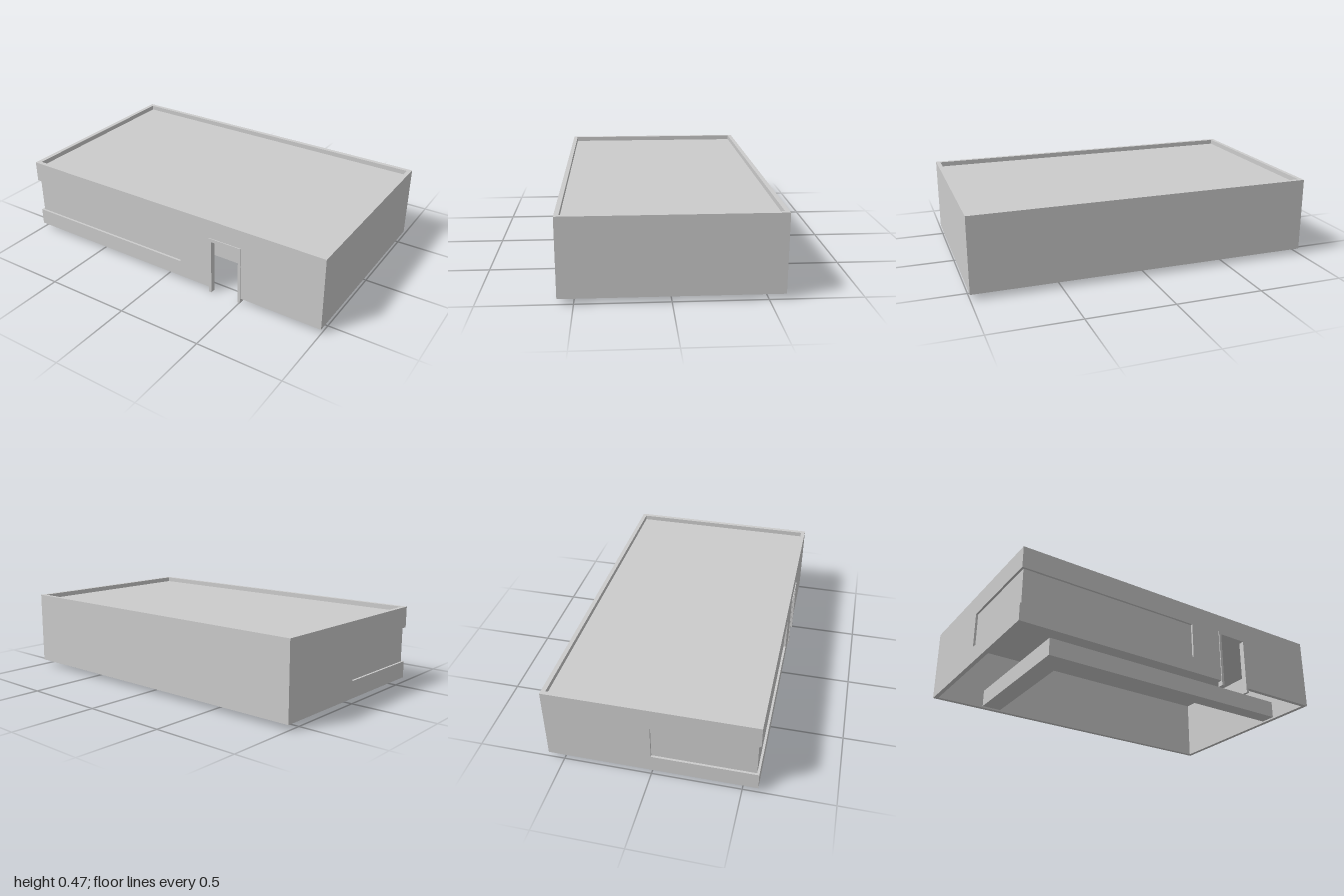
import * as THREE from 'three';

const material = new THREE.MeshStandardMaterial({ color: 0xcccccc, flatShading: true });

// Overall limits of the walls
const T = 0.025, BASE = 0.03, TOP = 0.465, BACK = -0.59, FRONT = 0.585;
// Corner window and doorway
const WIN = { low: 0.13, high: 0.34, endX: 0.1, endZ: 0 };
const DOOR = { left: 0.3, right: 0.505, top: 0.355, jamb: 0.016 };

export function createModel() {
  const model = new THREE.Group();
  model.name = 'building';

  const add = (name, geometry, parent = model) => {
    const mesh = new THREE.Mesh(geometry, material);
    mesh.name = name;
    parent.add(mesh);
    return mesh;
  };

  // Box given by its limits on each axis
  const box = (name, [x0, x1], [y0, y1], [z0, z1], parent) => {
    const g = new THREE.BoxGeometry(x1 - x0, y1 - y0, z1 - z0);
    g.translate((x0 + x1) / 2, (y0 + y1) / 2, (z0 + z1) / 2);
    return add(name, g, parent);
  };

  // Flat outline given thickness
  const slab = (points, depth) => {
    const shape = new THREE.Shape(points.map(([x, y]) => new THREE.Vector2(x, y)));
    return new THREE.ExtrudeGeometry(shape, { depth, bevelEnabled: false });
  };

  // Front wall, notched for the doorway and the corner window
  const inFront = FRONT - T, inBack = BACK + T, inSide = 1 - T;
  const front = slab([
    [-1, BASE], [DOOR.left, BASE], [DOOR.left, DOOR.top], [DOOR.right, DOOR.top],
    [DOOR.right, BASE], [1, BASE], [1, TOP], [-1, TOP],
    [-1, WIN.high], [WIN.endX, WIN.high], [WIN.endX, WIN.low], [-1, WIN.low],
  ], T);
  front.translate(0, 0, inFront);
  add('frontWall', front);

  // Side wall that carries the rest of the corner window
  const side = slab([
    [inBack, BASE], [inFront, BASE], [inFront, WIN.low], [WIN.endZ, WIN.low],
    [WIN.endZ, WIN.high], [inFront, WIN.high], [inFront, TOP], [inBack, TOP],
  ], T);
  side.rotateY(-Math.PI / 2);
  side.translate(-inSide, 0, 0);
  add('windowSideWall', side);

  // Plain walls
  box('plainSideWall', [inSide, 1], [BASE, TOP], [inBack, inFront]);
  box('backWall', [-1, 1], [BASE, TOP], [BACK, inBack]);

  // Roof set below the top of the walls
  box('roof', [-inSide, inSide], [0.415, 0.437], [inBack, inFront]);

  // Recessed panes meeting at the corner
  const recess = 0.013;
  const panes = new THREE.Group();
  panes.name = 'cornerWindow';
  model.add(panes);
  const paneY = [WIN.low, WIN.high];
  box('frontPane', [-1 + recess, WIN.endX], paneY, [inFront + 0.002, FRONT - recess], panes);
  box('sidePane', [-1 + recess, -inSide - 0.002], paneY, [WIN.endZ, inFront + 0.002], panes);

  // Door frame, with jambs reaching the ground
  const frame = new THREE.Group();
  frame.name = 'doorFrame';
  model.add(frame);
  const frameZ = [0.557, 0.59];
  const headY = DOOR.top - 0.02;
  for (const x of [DOOR.left, DOOR.right - DOOR.jamb]) {
    box('doorJamb', [x, x + DOOR.jamb], [0, headY], frameZ, frame);
  }
  box('doorHead', [DOOR.left, DOOR.right], [headY, DOOR.top], frameZ, frame);

  // L-shaped counter inside, laid flat from its plan outline
  const counter = slab([
    [-0.685, inBack], [-0.565, inBack], [-0.565, 0.215],
    [inSide, 0.215], [inSide, 0.31], [-0.685, 0.31],
  ], 0.105);
  counter.rotateX(Math.PI / 2);
  counter.translate(0, 0.145, 0);
  add('counter', counter);

  return model;
}
